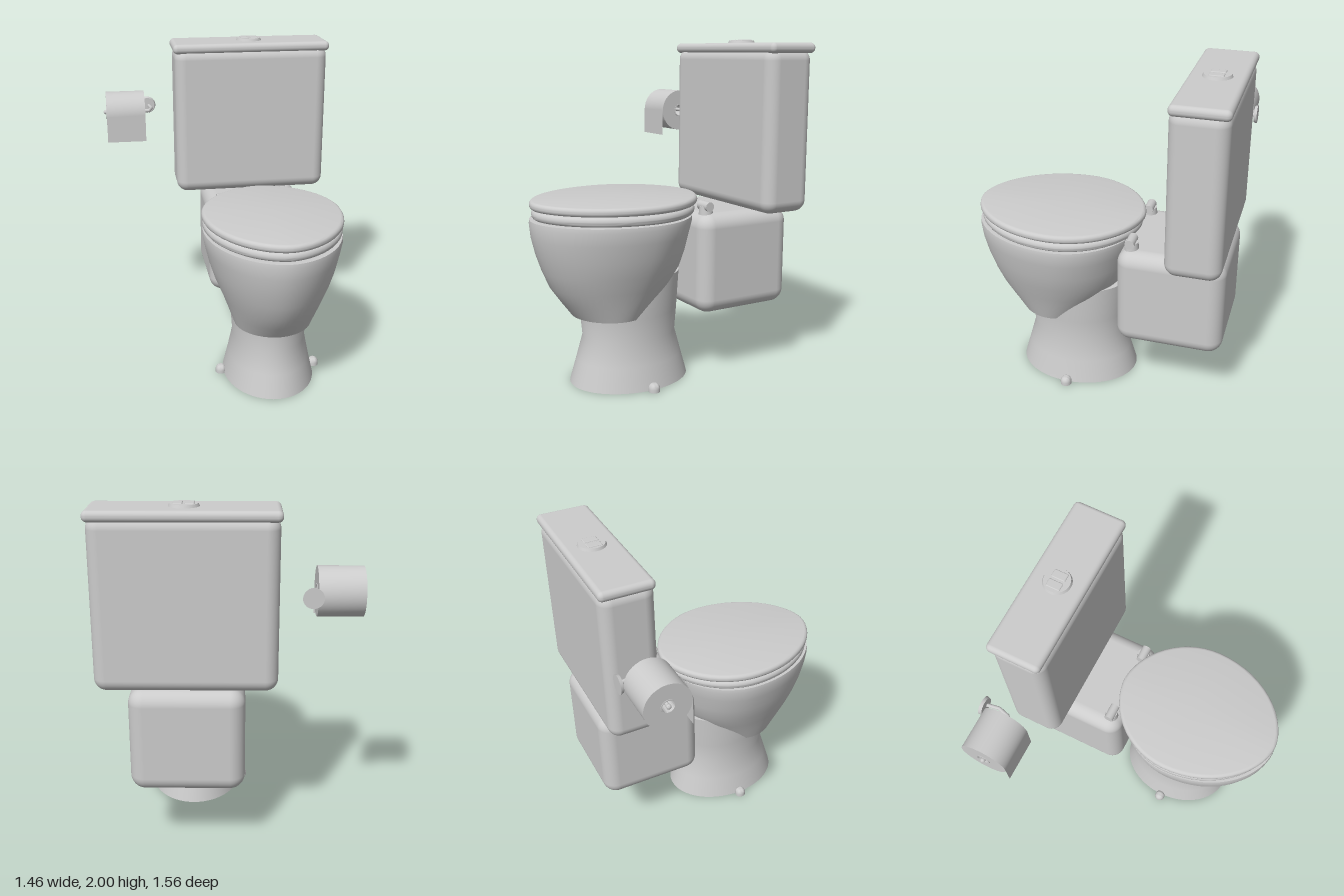
import * as THREE from 'three';
import { toCreasedNormals } from 'three/addons/utils/BufferGeometryUtils.js';
import { RoundedBoxGeometry } from 'three/addons/geometries/RoundedBoxGeometry.js';

const CX = 0.22; // centre line of the toilet
const material = new THREE.MeshStandardMaterial({ color: 0xcccccc });
const sheetMaterial = new THREE.MeshStandardMaterial({ color: 0xcccccc, side: THREE.DoubleSide });

function add(parent, name, geometry, x = 0, y = 0, z = 0, mat = material) {
  const mesh = new THREE.Mesh(geometry, mat);
  mesh.name = name;
  mesh.position.set(x, y, z);
  parent.add(mesh);
  return mesh;
}

// Closed loft through egg-shaped rings [y, halfWidth, zBack, zWidest, zFront], bottom to top
function loft(rings, point = 1, n = 56) {
  const pos = [], index = [];
  for (const [y, hx, zb, zc, zf] of rings) {
    for (let j = 0; j < n; j++) {
      const t = (j / n) * Math.PI * 2, c = Math.cos(t), s = Math.sin(t);
      pos.push(Math.sign(c) * Math.abs(c) ** point * hx, y, zc + s * (s > 0 ? zf - zc : zc - zb));
    }
  }
  for (let i = 0; i < rings.length - 1; i++) {
    for (let j = 0; j < n; j++) {
      const a = i * n + j, b = i * n + (j + 1) % n;
      index.push(a, a + n, b, b, a + n, b + n);
    }
  }
  const last = rings.length - 1, base = rings.length * n;
  pos.push(0, rings[0][0], rings[0][3], 0, rings[last][0], rings[last][3]);
  for (let j = 0; j < n; j++) {
    const k = (j + 1) % n;
    index.push(base, j, k, base + 1, last * n + k, last * n + j);
  }
  const g = new THREE.BufferGeometry();
  g.setAttribute('position', new THREE.Float32BufferAttribute(pos, 3));
  g.setIndex(index);
  return toCreasedNormals(g, 0.7);
}

// Oval slab with a rounded rim, used for seat and lid
function ovalSlab(y0, y1, hx, zb, zf, r) {
  const rings = [];
  const ring = (y, inset) => rings.push([y, hx - inset, zb + inset, 0.22, zf - inset]);
  for (let i = 0; i <= 4; i++) {
    const a = (i / 4) * Math.PI / 2;
    ring(y0 + r * (1 - Math.cos(a)), r * (1 - Math.sin(a)));
  }
  for (let i = 0; i <= 4; i++) {
    const a = (i / 4) * Math.PI / 2;
    ring(y1 - r * (1 - Math.sin(a)), r * (1 - Math.cos(a)));
  }
  return loft(rings, 1.12);
}

function createToilet() {
  const g = new THREE.Group();
  g.name = 'toilet';

  // Flared foot that runs up into the bowl
  add(g, 'pedestal', loft([
    [0, 0.285, -0.2, 0.17, 0.54],
    [0.14, 0.253, -0.16, 0.17, 0.5],
    [0.28, 0.225, -0.12, 0.17, 0.46],
    [0.42, 0.236, -0.13, 0.17, 0.475],
    [0.65, 0.245, -0.145, 0.17, 0.48],
  ]));

  // Bowl, leaning forwards over the foot
  add(g, 'bowl', loft([
    [0.42, 0.235, 0.08, 0.3, 0.53],
    [0.51, 0.268, 0.01, 0.28, 0.6],
    [0.6, 0.302, -0.07, 0.26, 0.665],
    [0.7, 0.345, -0.13, 0.24, 0.71],
    [0.8, 0.378, -0.16, 0.23, 0.745],
    [0.9, 0.402, -0.18, 0.22, 0.77],
    [0.975, 0.417, -0.2, 0.22, 0.778],
    [1, 0.414, -0.2, 0.22, 0.775],
  ], 1.06));

  add(g, 'seat', ovalSlab(1.005, 1.06, 0.415, -0.225, 0.765, 0.025));
  add(g, 'seatLid', ovalSlab(1.062, 1.11, 0.42, -0.245, 0.777, 0.022));

  // Block behind the bowl and the tank on top of it
  add(g, 'rearBlock', new RoundedBoxGeometry(0.64, 0.6, 0.63, 6, 0.085), 0, 0.7, -0.463);
  add(g, 'tank', new RoundedBoxGeometry(0.99, 0.95, 0.315, 6, 0.07), 0, 1.475, -0.618);
  add(g, 'tankLid', new RoundedBoxGeometry(1.01, 0.06, 0.317, 5, 0.028), 0, 1.95, -0.622);

  // Flush plate with two buttons
  add(g, 'flushPlate', new THREE.CylinderGeometry(0.075, 0.084, 0.02, 32), 0, 1.985, -0.622);
  for (const s of [-1, 1]) {
    add(g, 'flushButton', new RoundedBoxGeometry(0.05, 0.02, 0.085, 2, 0.006), s * 0.031, 1.99, -0.622);

    // Seat hinges
    add(g, 'hingeBase', new THREE.CylinderGeometry(0.038, 0.042, 0.05, 24), s * 0.222, 1.015, -0.225);
    const barrel = add(g, 'hingeBarrel', new THREE.CylinderGeometry(0.028, 0.028, 0.096, 24), s * 0.222, 1.04, -0.222);
    barrel.rotation.z = Math.PI / 2;

    // Caps over the floor bolts
    add(g, 'boltCap', new THREE.CapsuleGeometry(0.033, 0.04, 8, 20), s * 0.302, -0.002, 0.17)
      .geometry = boltCapGeometry();
  }
  g.position.x = CX;
  return g;
}

// Short stem with a domed top
function boltCapGeometry() {
  const profile = [new THREE.Vector2(0, 0.002), new THREE.Vector2(0.034, 0.002)];
  for (let i = 0; i <= 6; i++) {
    const a = (i / 6) * Math.PI / 2;
    profile.push(new THREE.Vector2(0.034 * Math.cos(a), 0.02 + 0.034 * Math.sin(a)));
  }
  return toCreasedNormals(new THREE.LatheGeometry(profile, 20), 0.7);
}

// Hollow cylinder lying along x
function tube(outer, inner, length) {
  const h = length / 2;
  const profile = [[inner, -h], [outer, -h], [outer, h], [inner, h], [inner, -h]].map(p => new THREE.Vector2(...p));
  return toCreasedNormals(new THREE.LatheGeometry(profile, 40), 0.7).rotateZ(Math.PI / 2);
}

function createPaperHolder() {
  const g = new THREE.Group();
  g.name = 'paperHolder';
  const y = 1.53, z = -0.62, rollX = -0.596;

  add(g, 'paperRoll', tube(0.135, 0.042, 0.246), rollX, y, z);
  add(g, 'rollCore', tube(0.042, 0.036, 0.252), rollX, y, z);
  add(g, 'looseSheet', new THREE.PlaneGeometry(0.246, 0.168), rollX, y - 0.082, z + 0.136, sheetMaterial);

  // Rod through the roll with a small end stop
  const rod = add(g, 'rod', new THREE.CylinderGeometry(0.011, 0.011, 0.29, 16), -0.588, y + 0.003, z);
  rod.rotation.z = Math.PI / 2;
  add(g, 'rodEnd', new THREE.SphereGeometry(0.014, 16, 12), -0.724, y + 0.003, z);

  // Bent arm back to the wall plate
  const arm = new THREE.CurvePath();
  const bends = [[-0.455, z], [-0.442, z], [-0.422, -0.69], [-0.436, -0.77]]
    .map(([px, pz]) => new THREE.Vector3(px, y + 0.003, pz));
  for (let i = 0; i < 3; i++) arm.add(new THREE.LineCurve3(bends[i], bends[i + 1]));
  add(g, 'arm', new THREE.TubeGeometry(arm, 30, 0.011, 12));
  const plate = add(g, 'wallPlate', new THREE.CylinderGeometry(0.05, 0.056, 0.018, 32), -0.445, y + 0.005, -0.77);
  plate.rotation.x = Math.PI / 2;
  return g;
}

export function createModel() {
  const model = new THREE.Group();
  model.name = 'toiletWithPaperHolder';
  model.add(createToilet(), createPaperHolder());
  return model;
}
